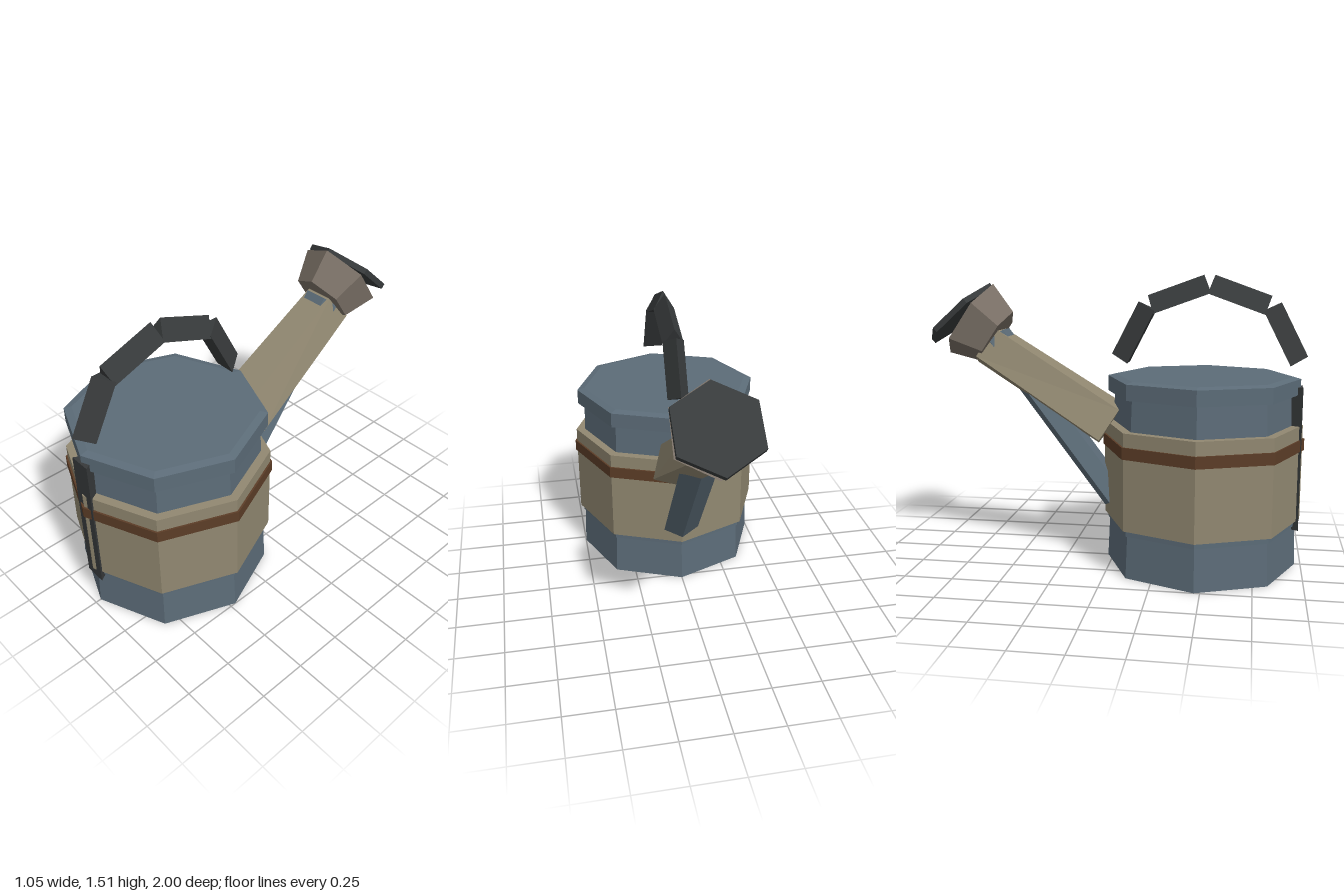
import * as THREE from 'three';

const material = (color) => new THREE.MeshStandardMaterial({ color, flatShading: true });
const slate = material(0x5c6c78);
const tan = material(0x918871);
const roseTan = material(0x7b7167);
const brown = material(0x5c3d27);
const dark = material(0x373a3b);

const BODY_Z = 0.47;

function add(parent, name, geometry, mat, x = 0, y = 0, z = 0) {
  const mesh = new THREE.Mesh(geometry, mat);
  mesh.name = name;
  mesh.position.set(x, y, z);
  parent.add(mesh);
  return mesh;
}

// Octagonal ring of the body between two heights
function ring(parent, name, mat, y0, y1, r0, r1 = r0) {
  add(parent, name, new THREE.CylinderGeometry(r1, r0, y1 - y0, 8), mat, 0, (y0 + y1) / 2, BODY_Z);
}

// Keeled five-sided beam from one point to another, narrowing along its length
function beam(parent, name, mat, from, to, { top, wide, height, split, taper, taperH }) {
  const h = height / 2;
  const side = h - height * split;
  const shape = new THREE.Shape([
    new THREE.Vector2(-top, h), new THREE.Vector2(-wide, side), new THREE.Vector2(0, -h),
    new THREE.Vector2(wide, side), new THREE.Vector2(top, h),
  ]);
  const length = from.distanceTo(to);
  const geometry = new THREE.ExtrudeGeometry(shape, { depth: length, bevelEnabled: false });
  const p = geometry.attributes.position;
  for (let i = 0; i < p.count; i++) {
    const t = p.getZ(i) / length;
    p.setX(i, p.getX(i) * (1 + (taper - 1) * t));
    p.setY(i, p.getY(i) * (1 + (taperH - 1) * t));
  }
  geometry.computeVertexNormals();
  add(parent, name, geometry, mat, from.x, from.y, from.z).lookAt(to);
}

export function createModel() {
  const model = new THREE.Group();
  model.name = 'wateringCan';

  // Body: stacked octagonal rings
  const body = new THREE.Group();
  body.name = 'body';
  model.add(body);
  ring(body, 'base', slate, 0, 0.22, 0.5, 0.49);
  ring(body, 'baseLip', slate, 0.22, 0.25, 0.5);
  ring(body, 'barrel', tan, 0.25, 0.75, 0.517);
  ring(body, 'hoop', brown, 0.62, 0.68, 0.527);
  ring(body, 'neck', slate, 0.75, 0.91, 0.47, 0.463);
  ring(body, 'rim', slate, 0.91, 0.99, 0.5);
  ring(body, 'lid', slate, 0.99, 1.0, 0.5, 0.46);

  // Upright strap on the front, flat side outward
  const strap = add(model, 'frontStrap', new THREE.CylinderGeometry(0.065, 0.065, 0.75, 3), dark, 0, 0.575, 0.947);
  strap.rotation.y = Math.PI;

  // Handle: two three-sided bars per half, mirrored front to back
  const handle = new THREE.Group();
  handle.name = 'handle';
  handle.position.z = 0.495;
  model.add(handle);
  for (const turn of [0, Math.PI]) {
    const half = new THREE.Group();
    half.name = turn ? 'handleBack' : 'handleFront';
    half.rotation.y = turn;
    handle.add(half);
    for (const [name, y, z, tilt] of [
      ['lowerBar', 1.211, 0.376, -0.473],
      ['upperBar', 1.4, 0.15, -1.223],
    ]) {
      const bar = add(half, name, new THREE.CylinderGeometry(0.066, 0.066, 0.307, 3), dark, 0, y, z);
      bar.rotation.x = tilt;
    }
  }

  // Spout and the brace that runs up through it
  beam(model, 'spout', tan, new THREE.Vector3(0, 0.722, -0.019), new THREE.Vector3(0, 1.142, -0.684),
    { top: 0.1, wide: 0.16, height: 0.233, split: 0.78, taper: 0.72, taperH: 0.94 });
  beam(model, 'spoutBrace', slate, new THREE.Vector3(0, 0.318, 0.013), new THREE.Vector3(0, 1.185, -0.639),
    { top: 0.06, wide: 0.095, height: 0.14, split: 0.62, taper: 1, taperH: 1 });

  // Flared hexagonal rose with a tilted plate over its mouth
  const rose = add(model, 'rose', new THREE.CylinderGeometry(0.222, 0.16, 0.17, 6), roseTan, 0, 1.233, -0.703);
  rose.rotation.x = -0.977;
  const plate = add(model, 'rosePlate', new THREE.CylinderGeometry(0.225, 0.225, 0.03, 6), dark, 0, 1.307, -0.825);
  plate.rotation.x = -0.735;

  return model;
}
